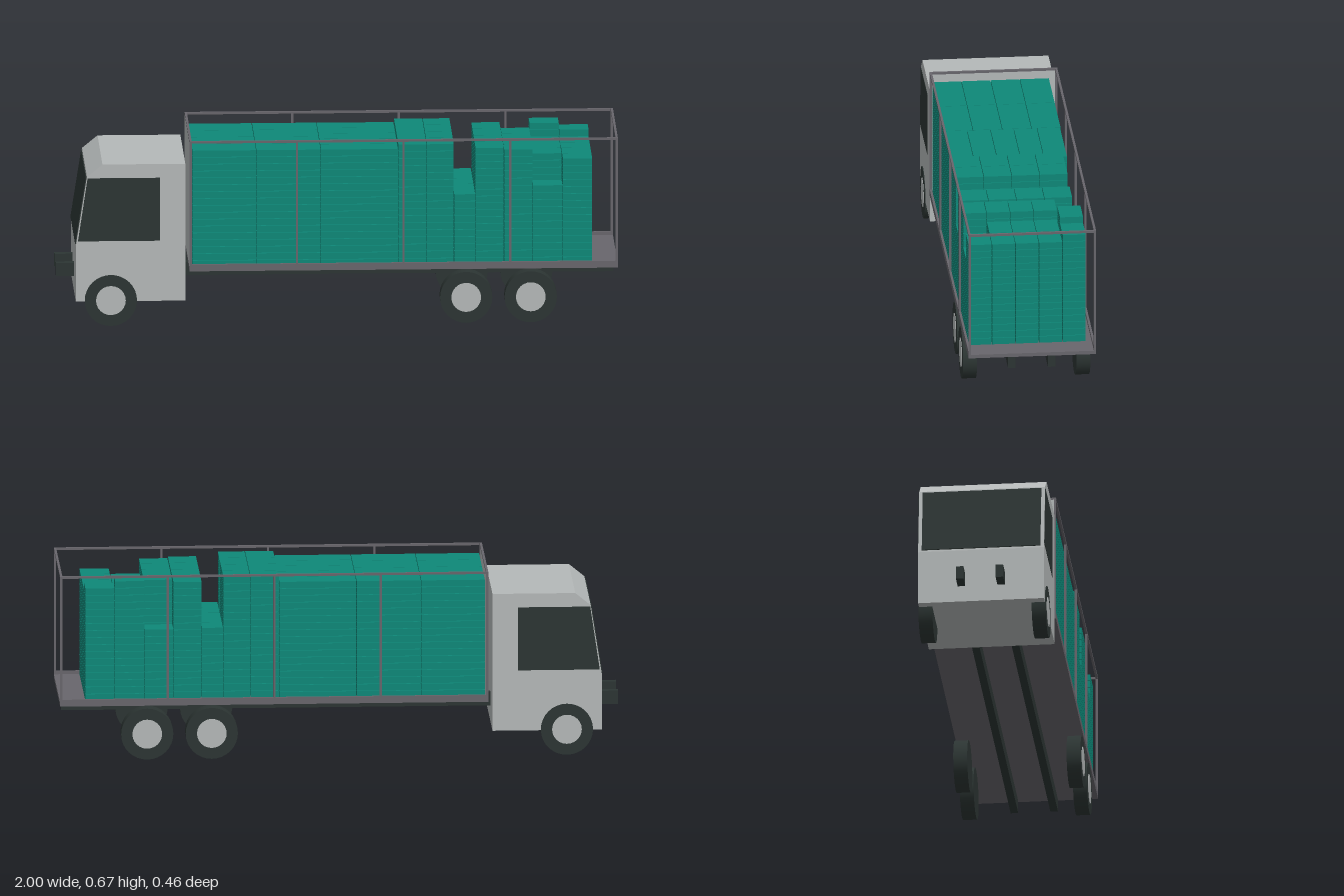
import * as THREE from 'three';
import { mergeGeometries } from 'three/addons/utils/BufferGeometryUtils.js';

const mat = (name, color, side = THREE.FrontSide) => {
  const m = new THREE.MeshStandardMaterial({ color, side });
  m.name = name;
  return m;
};

export function createModel() {
  const truck = new THREE.Group();
  truck.name = 'truck';
  const paint = mat('cab grey', 0xb4b8b8);
  const dark = mat('dark rubber and glass', 0x2c3533);
  const steel = mat('frame grey', 0x68666c);
  const teal = mat('crate teal', 0x0e8878);

  const add = (name, geometry, material, parent = truck) => {
    const mesh = new THREE.Mesh(geometry, material);
    mesh.name = name;
    parent.add(mesh);
    return mesh;
  };
  // Box given by its lower and upper corners
  const span = (x0, x1, y0, y1, z0, z1) =>
    new THREE.BoxGeometry(x1 - x0, y1 - y0, z1 - z0)
      .translate((x0 + x1) / 2, (y0 + y1) / 2, (z0 + z1) / 2);
  // Side profile extruded across the truck
  const profile = (points, z0, z1) =>
    new THREE.ExtrudeGeometry(new THREE.Shape(points.map(p => new THREE.Vector2(...p))),
      { depth: z1 - z0, bevelEnabled: false }).translate(0, 0, z0);

  // Cab with sloping windscreen and chamfered roof edge
  add('cab', profile([[-0.935, 0.09], [-0.545, 0.09], [-0.545, 0.59], [-0.84, 0.59],
    [-0.895, 0.545], [-0.935, 0.29]], -0.225, 0.225), paint);
  add('windscreen', profile([[-0.934, 0.297], [-0.896, 0.539], [-0.899, 0.54], [-0.937, 0.298]],
    -0.212, 0.212), dark);
  for (const s of [1, -1]) {
    const pane = profile([[-0.927, 0.31], [-0.635, 0.31], [-0.635, 0.54], [-0.893, 0.54]], -0.001, 0.001);
    add('sideWindow', pane.translate(0, 0, s * 0.2255), dark);
  }

  // Chassis rails
  for (const z of [0.072, -0.07])
    add('chassisRail', span(-1, 0.985, 0.15, 0.198, z - 0.0135, z + 0.0135), dark);

  // Wheels with pale hubs on the outside
  for (const x of [-0.81, 0.455, 0.685]) for (const s of [1, -1]) {
    const wheel = new THREE.Group();
    wheel.name = 'wheel';
    wheel.position.set(x, 0.093, s * 0.2025);
    add('tyre', new THREE.CylinderGeometry(0.093, 0.093, 0.05, 32).rotateX(Math.PI / 2), dark, wheel);
    add('hub', new THREE.CylinderGeometry(0.053, 0.053, 0.004, 24).rotateX(Math.PI / 2)
      .translate(0, 0, s * 0.0245), paint, wheel);
    truck.add(wheel);
  }

  // Load bed, edge lips and front wall
  add('bed', span(-0.53, 0.995, 0.197, 0.21, -0.228, 0.228), steel);
  for (const s of [1, -1])
    add('bedLip', span(-0.53, 0.995, 0.21, 0.222, -0.004, 0.004).translate(0, 0, s * 0.224), steel);
  add('frontWall', span(-0.53, -0.525, 0.21, 0.664, -0.22, 0.22), paint);

  // Open frame over the load
  const bar = 0.008;
  for (const s of [1, -1]) {
    for (const x of [-0.526, -0.147, 0.232, 0.612, 0.991])
      add('post', span(x - bar / 2, x + bar / 2, 0.21, 0.672, -bar / 2, bar / 2)
        .translate(0, 0, s * 0.224), steel);
    add('topRail', span(-0.53, 0.995, 0.664, 0.672, -bar / 2, bar / 2).translate(0, 0, s * 0.224), steel);
  }
  for (const x of [-0.526, 0.991])
    add('crossRail', span(x - bar / 2, x + bar / 2, 0.664, 0.672, -0.228, 0.228), steel);

  // Crate stacks: x range, far z edge, top height of each row from +z to -z
  const row = (n, top) => Array(n).fill(top);
  const stacks = [
    [-0.52, -0.292, -0.198, row(4, 0.638)],
    [-0.292, -0.062, -0.198, row(4, 0.638)],
    [-0.062, 0.213, -0.196, row(5, 0.638)],
    [0.213, 0.315, -0.18, row(4, 0.654)],
    [0.315, 0.412, -0.18, row(4, 0.654)],
    [0.412, 0.488, -0.182, row(5, 0.47)],
    [0.488, 0.59, -0.18, row(4, 0.638)],
    [0.59, 0.693, -0.2, [...row(4, 0.632), 0.47]],
    [0.693, 0.799, -0.2, [0.5, 0.597, 0.597, 0.597, 0.648]],
    [0.799, 0.905, -0.2, [...row(4, 0.597), 0.623]],
  ];
  const base = 0.2105, near = 0.22, gap = 0.001;
  for (const [x0, x1, far, tops] of stacks) {
    const crates = [];
    const w = (near - far) / tops.length;
    tops.forEach((top, i) => {
      const layers = Math.round((top - base) / 0.0257);
      const h = (top - base) / layers;
      for (let k = 0; k < layers; k++)
        crates.push(span(x0 + gap, x1 - gap, base + k * h, base + (k + 1) * h - 2 * gap,
          near - (i + 1) * w + gap, near - i * w - gap));
    });
    add('crateStack', mergeGeometries(crates), teal);
  }
  return truck;
}
